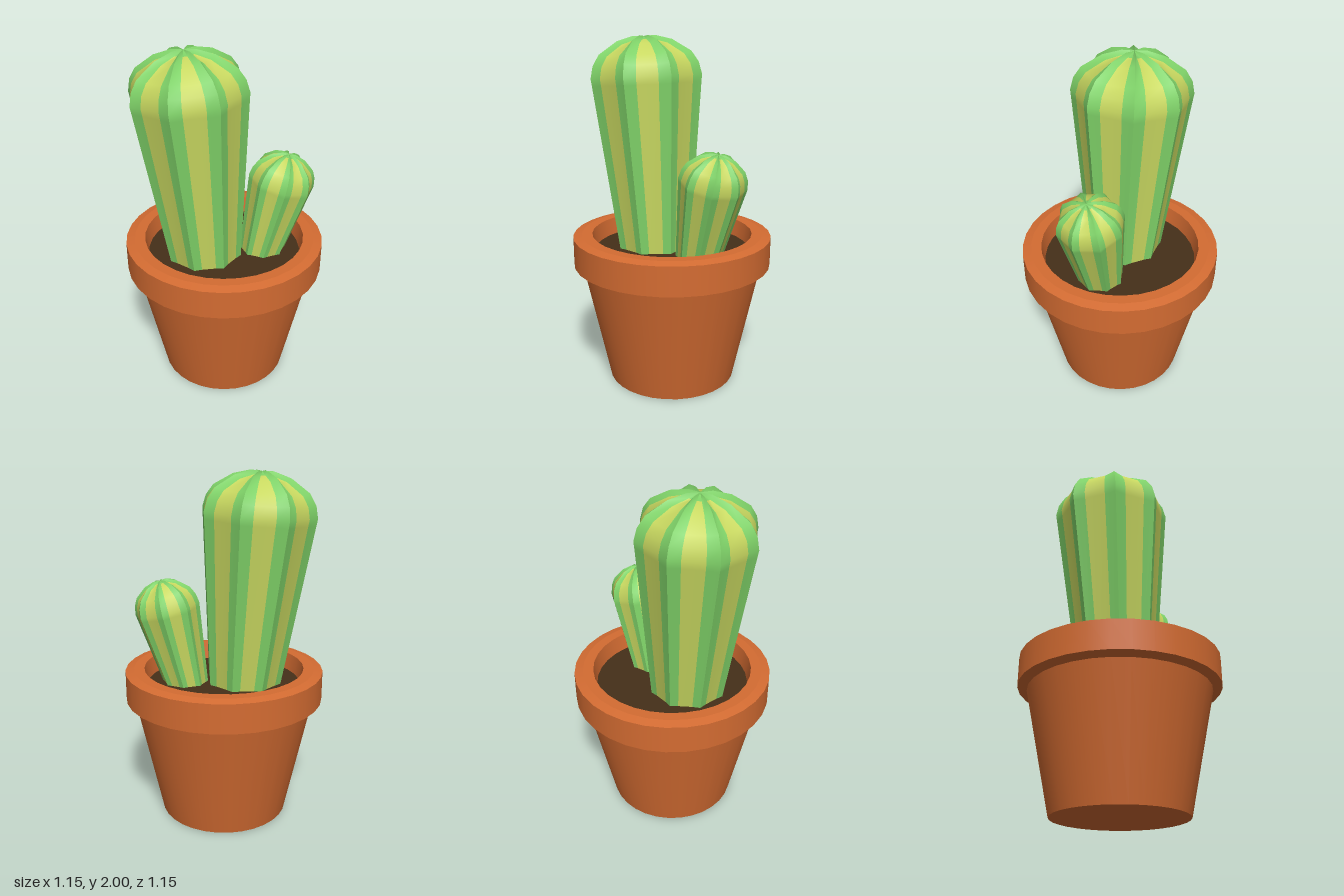
import * as THREE from 'three';
import { mergeGeometries } from 'three/addons/utils/BufferGeometryUtils.js';

const mat = (color) => new THREE.MeshStandardMaterial({ color });
const clay = mat(0xd46c32);
const soil = mat(0x453019);
const green = mat(0x7fd268);
const yellow = mat(0xc8d860);

const RIBS = 8;

// Lathe with a hard edge at every profile point
function creasedLathe(profile, sides) {
  const bands = [];
  for (let i = 0; i + 1 < profile.length; i++) {
    const pair = [profile[i], profile[i + 1]].map(([r, y]) => new THREE.Vector2(r, y));
    bands.push(new THREE.LatheGeometry(pair, sides));
  }
  return mergeGeometries(bands);
}

// Ribbed, tilted, domed stem: sharp green ribs, yellow valleys
function cactus(name, { base, top, rBase, rMax, dome, phase }) {
  const from = new THREE.Vector3(...base);
  const axis = new THREE.Vector3(...top).sub(from);
  const length = axis.length();
  const shoulder = length - dome;

  // Rows: [radius, height, how far the valley sinks]
  const sink = 0.07 * rMax;
  const rows = [[rBase, 0, 0], [rMax * 0.985, shoulder - 0.12 * rMax, 0]];
  for (const [r, h] of [[1, 0], [0.95, 0.3], [0.83, 0.56], [0.5, 0.86], [0.2, 0.98]])
    rows.push([rMax * r, shoulder + dome * h, sink * h]);
  rows.push([0, length - 0.03 * dome, 0]);

  const panels = { ribs: [], valleys: [] };
  const step = (Math.PI * 2) / RIBS;
  for (let k = 0; k < RIBS; k++) {
    // One panel runs from rib tip to rib tip
    const pos = [];
    for (const [r, y, drop] of rows) {
      [0, 0.25, 0.75, 1].forEach((u, j) => {
        const valley = j === 1 || j === 2;
        const a = phase + (k + u) * step;
        const rad = valley ? r * 0.92 : r;
        pos.push(rad * Math.cos(a), valley ? y - drop : y, rad * Math.sin(a));
      });
    }
    const index = { ribs: [], valleys: [] };
    for (let i = 0; i + 1 < rows.length; i++) {
      const isTip = i === rows.length - 2;
      for (let j = 0; j < 3; j++) {
        const a = i * 4 + j, b = a + 4;
        const list = j === 1 && !isTip ? index.valleys : index.ribs;
        list.push(a, b, a + 1);
        if (!isTip) list.push(a + 1, b, b + 1);
      }
    }
    const panel = new THREE.BufferGeometry();
    panel.setAttribute('position', new THREE.Float32BufferAttribute(pos, 3));
    panel.setIndex([...index.ribs, ...index.valleys]);
    panel.computeVertexNormals();
    for (const part of ['ribs', 'valleys'])
      panels[part].push(panel.clone().setIndex(index[part]));
  }

  const group = new THREE.Group();
  group.name = name;
  for (const [part, material] of [['ribs', green], ['valleys', yellow]]) {
    const mesh = new THREE.Mesh(mergeGeometries(panels[part]), material);
    mesh.name = part;
    group.add(mesh);
  }
  group.position.copy(from);
  group.quaternion.setFromUnitVectors(new THREE.Vector3(0, 1, 0), axis.normalize());
  return group;
}

export function createModel() {
  const model = new THREE.Group();
  model.name = 'pottedCactus';

  // Tapered pot with a thick rim and a hollow top
  const pot = new THREE.Mesh(creasedLathe([
    [0, 0], [0.375, 0], [0.522, 0.69], [0.575, 0.708],
    [0.575, 0.875], [0.525, 0.887], [0.465, 0.887], [0.445, 0.78],
  ], 32), clay);
  pot.name = 'pot';
  model.add(pot);

  // Soil disc
  const earth = new THREE.Mesh(new THREE.CircleGeometry(0.447, 32), soil);
  earth.name = 'soil';
  earth.rotation.x = -Math.PI / 2;
  earth.position.y = 0.79;
  model.add(earth);

  // Two stems leaning away from each other
  model.add(cactus('tallCactus', {
    base: [-0.107, 0.75, -0.052], top: [-0.172, 2, -0.118],
    rBase: 0.217, rMax: 0.333, dome: 0.23, phase: 0.223,
  }));
  model.add(cactus('smallCactus', {
    base: [0.16, 0.75, 0.144], top: [0.275, 1.395, 0.24],
    rBase: 0.125, rMax: 0.19, dome: 0.17, phase: -0.05,
  }));
  return model;
}
